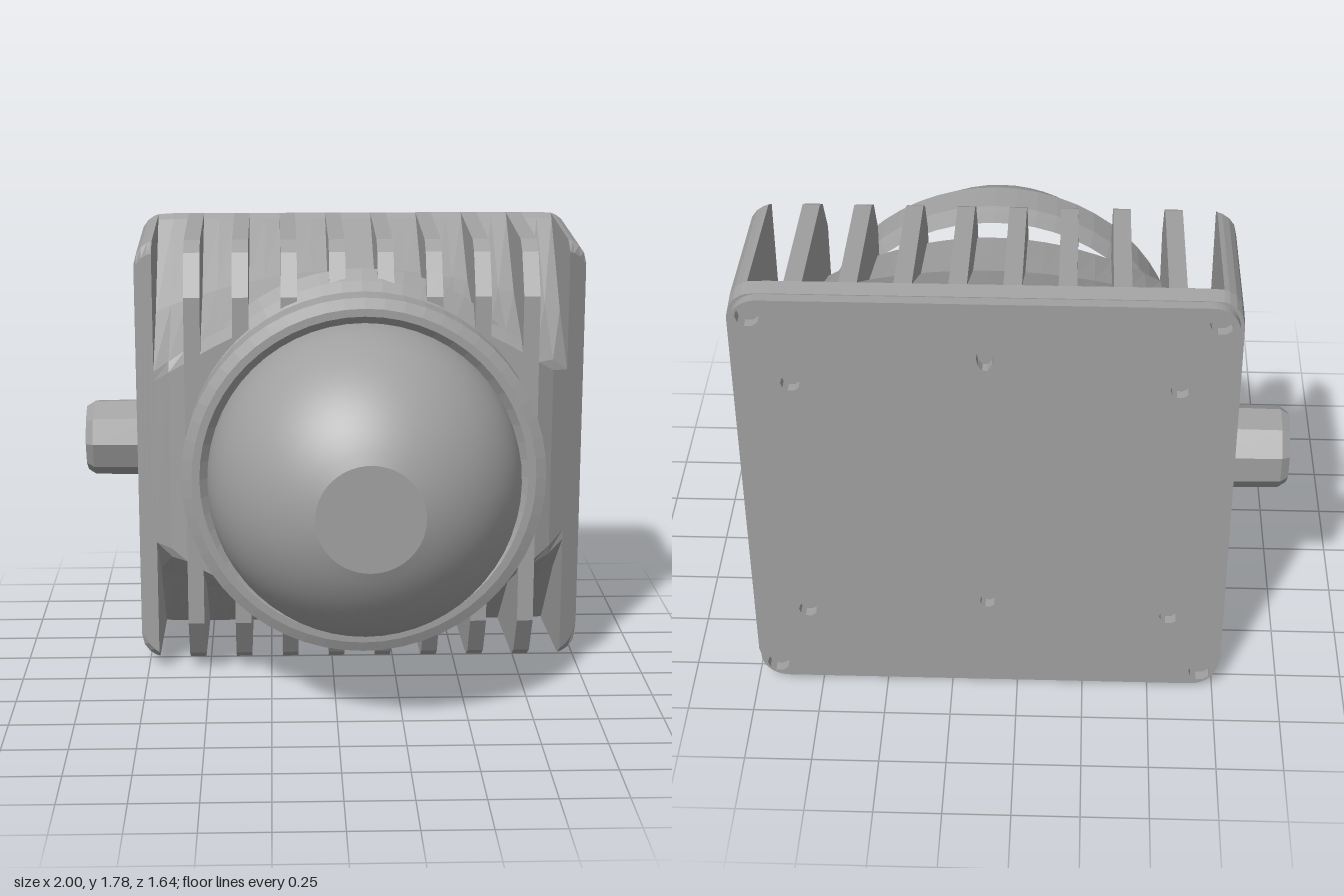
import * as THREE from 'three';

const CX = 0.11, CY = 0.89, HALF = 0.89;
const grey = new THREE.MeshStandardMaterial({ color: 0xa0a0a0 });
grey.name = 'castGrey';

// Housing cross-section (z, y) at x, counter-clockwise; grooves dip between the fins
function section(x, groove) {
  const u = Math.abs(x - CX), r = 0.1;
  const c = Math.max(0, u - (HALF - r));
  const inset = r - Math.sqrt(Math.max(0, r * r - c * c));
  const front = u < 0.71 ? 0 : -0.17 * (u - 0.71) / (HALF - 0.71);
  const deep = 0.71 - 0.25 * u * u, lip = 0.66 - 0.46 * u * u;
  const half = groove
    ? [[-0.78, 0.878], [-0.72, 0.89], [-0.69, 0.87], [-0.36, deep], [-0.06, lip], [0, lip - 0.04]]
    : [[-0.78, 0.878], [-0.72, 0.89], [-0.17, 0.86], [-0.1, 0.82], [-0.05, 0.74], [0, 0.66]];
  const pts = half.map(([z, h]) => [Math.min(z, front), h - inset]);
  const bottom = pts.map(([z, h]) => new THREE.Vector2(z, CY - h));
  const top = pts.map(([z, h]) => new THREE.Vector2(z, CY + h)).reverse();
  return [...bottom, ...top];
}

// Slab lofted through x stations, with an optional straight window (clockwise)
function loft(xs, groove, hole) {
  const pos = [];
  const put = (x, p) => pos.push(x, p.y, p.x);
  const walls = (xa, A, xb, B) => A.forEach((p, i) => {
    const j = (i + 1) % A.length;
    put(xa, p); put(xb, B[j]); put(xa, A[j]);
    put(xa, p); put(xb, B[i]); put(xb, B[j]);
  });
  const rings = xs.map(x => section(x, groove));
  const last = xs.length - 1;
  for (let i = 0; i < last; i++) walls(xs[i], rings[i], xs[i + 1], rings[i + 1]);
  if (hole) walls(xs[0], hole, xs[last], hole);
  for (const i of [0, last]) {
    const all = hole ? [...rings[i], ...hole] : rings[i];
    for (const [a, b, c] of THREE.ShapeUtils.triangulateShape(rings[i], hole ? [hole] : [])) {
      for (const k of i === 0 ? [a, b, c] : [a, c, b]) put(xs[i], all[k]);
    }
  }
  const g = new THREE.BufferGeometry();
  g.setAttribute('position', new THREE.Float32BufferAttribute(pos, 3));
  g.computeVertexNormals();
  return g;
}

function lathe(points, segments, flat) {
  let g = new THREE.LatheGeometry(points.map(p => new THREE.Vector2(p[0], p[1])), segments);
  if (flat) {
    g = g.toNonIndexed();
    g.computeVertexNormals();
  }
  return g;
}

export function createModel() {
  const model = new THREE.Group();
  const add = (name, geometry, parent = model) => {
    const m = new THREE.Mesh(geometry, grey);
    m.name = name;
    parent.add(m);
    return m;
  };

  // Finned housing: alternate grooves and fins across the width
  const housing = new THREE.Group();
  housing.name = 'housing';
  model.add(housing);
  const pitch = 0.1885, w = 0.0625;
  for (let k = -4; k <= 4; k++) {
    const x = CX + k * pitch;
    add('coolingGroove', loft([x - w, x, x + w], true), housing);
    if (k < 4) add('coolingFin', loft([x + w, x + pitch - w], false), housing);
  }

  // Side walls with rounded edges; the right one has a window for the cable
  const edge = 4 * pitch + w;
  const offsets = [edge, 0.835, 0.86, 0.88, HALF];
  const window = [[-0.64, 0.5], [-0.64, 1.28], [-0.27, 1.28], [-0.27, 0.5]]
    .map(p => new THREE.Vector2(p[0], p[1]));
  add('leftWall', loft(offsets.map(o => CX + o), false), housing);
  add('rightWall', loft(offsets.map(o => CX - o).reverse(), false, window), housing);

  // Back plate with screw holes and a keyhole slot
  const s = 0.875, r = 0.1, plate = new THREE.Shape();
  plate.absarc(s - r, s - r, r, 0, Math.PI / 2);
  plate.absarc(r - s, s - r, r, Math.PI / 2, Math.PI);
  plate.absarc(r - s, r - s, r, Math.PI, Math.PI * 1.5);
  plate.absarc(s - r, r - s, r, Math.PI * 1.5, Math.PI * 2);
  const drill = (x, y, radius, stretch = 1) => {
    const h = new THREE.Path();
    h.absellipse(x, y, radius, radius * stretch, 0, Math.PI * 2, true);
    plate.holes.push(h);
  };
  for (const sx of [-1, 1]) for (const sy of [-1, 1]) {
    drill(sx * 0.81, sy * 0.81, 0.043);
    drill(sx * 0.68, sy * 0.53, 0.035);
  }
  drill(0, 0.65, 0.03, 1.8);
  drill(0, -0.47, 0.03);
  const back = new THREE.ExtrudeGeometry(plate, { depth: 0.04, bevelEnabled: false, curveSegments: 5 });
  add('backPlate', back).position.set(CX, CY, -0.82);

  // Flared neck and collar around the dome
  const collar = lathe([[0.76, -0.08], [0.72, -0.03], [0.675, 0.02], [0.69, 0.07], [0.7, 0.1],
    [0.7, 0.235], [0.66, 0.25], [0.63, 0.25], [0.6, 0.22]], 56, true);
  add('collar', collar.rotateX(Math.PI / 2)).position.set(CX, CY, 0);

  // Dome with a flat front
  const R = 0.6, end = Math.acos(0.2 / R), profile = [[R, 0.2]];
  for (let i = 0; i <= 16; i++) {
    const a = end * i / 16;
    profile.push([R * Math.cos(a), 0.255 + R * Math.sin(a)]);
  }
  add('dome', lathe(profile, 56, false).rotateX(Math.PI / 2)).position.set(CX, CY, 0);
  add('domeFlat', new THREE.CircleGeometry(0.2, 56)).position.set(CX, CY, 0.255 + R * Math.sin(end));

  // Hollow cable gland
  const gland = lathe([[0.16, 0.7], [0.155, 0.97], [0.135, 1], [0.095, 1], [0.085, 0.85], [0, 0.85]], 9, true);
  add('cableGland', gland.rotateZ(Math.PI / 2)).position.set(0, 0.895, -0.45);

  return model;
}
